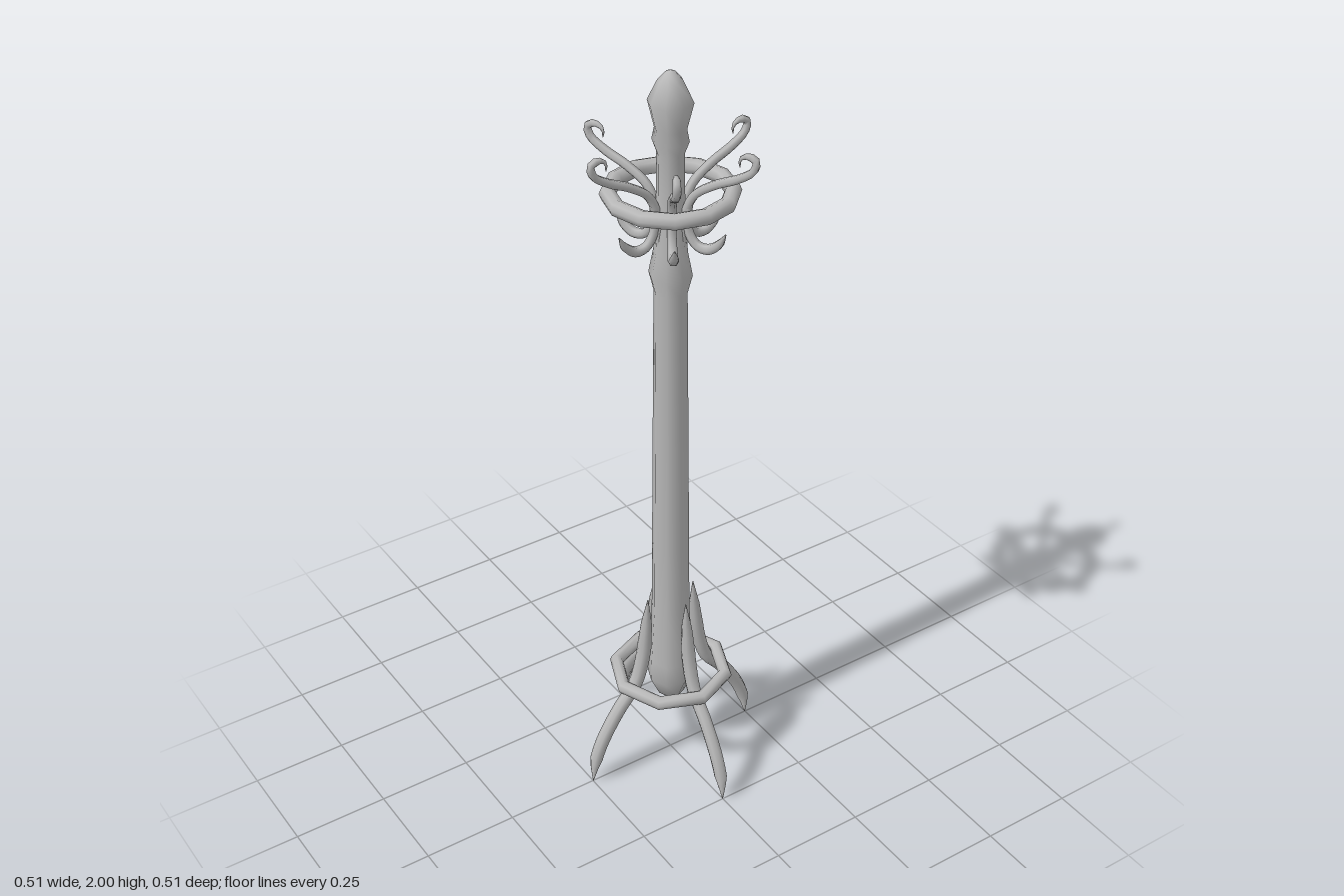
import * as THREE from 'three';

const grey = new THREE.MeshStandardMaterial({ color: 0xb8b8b8 });
grey.name = 'plain grey';

// Tube through [radius, height] points, with thickness varying along its length
function taperedTube(name, points, radii, segments, sides) {
  const curve = new THREE.CatmullRomCurve3(points.map(([r, y]) => new THREE.Vector3(r, y, 0)));
  const geo = new THREE.TubeGeometry(curve, segments, 1, sides);
  const pos = geo.attributes.position;
  const v = new THREE.Vector3();
  for (let i = 0; i < pos.count; i++) {
    const t = Math.floor(i / (sides + 1)) / segments;
    const f = t * (radii.length - 1);
    const k = Math.min(Math.floor(f), radii.length - 2);
    const radius = THREE.MathUtils.lerp(radii[k], radii[k + 1], f - k);
    const centre = curve.getPointAt(t);
    v.fromBufferAttribute(pos, i).sub(centre).multiplyScalar(radius).add(centre);
    pos.setXYZ(i, v.x, v.y, v.z);
  }
  const mesh = new THREE.Mesh(geo, grey);
  mesh.name = name;
  return mesh;
}

// Copies of a part spread evenly round the column
function spread(group, mesh, count) {
  for (let i = 0; i < count; i++) {
    const copy = mesh.clone();
    copy.rotation.y = (i / count) * Math.PI * 2;
    group.add(copy);
  }
}

function ring(name, y, radius, tube, sides) {
  const geo = new THREE.TorusGeometry(radius, tube, 8, sides);
  geo.rotateX(-Math.PI / 2);
  const mesh = new THREE.Mesh(geo, grey);
  mesh.position.y = y;
  mesh.name = name;
  return mesh;
}

export function createModel() {
  const root = new THREE.Group();
  root.name = 'coatStand';

  // Turned eight-sided column with collar and finial
  const profile = [
    [0, 0.212], [0.036, 0.212], [0.062, 0.27], [0.06, 0.33], [0.05, 0.5], [0.048, 0.7],
    [0.041, 1.44], [0.053, 1.488], [0.041, 1.55], [0.034, 1.7], [0.033, 1.8],
    [0.044, 1.83], [0.038, 1.86], [0.054, 1.925], [0.03, 1.975], [0.012, 1.995], [0, 2],
  ].map(([r, y]) => new THREE.Vector2(r, y));
  const column = new THREE.Mesh(new THREE.LatheGeometry(profile, 8), grey);
  column.name = 'column';
  root.add(column);

  // Rings bracing the hooks and the legs
  root.add(ring('upperRing', 1.7, 0.144, 0.02, 12));
  root.add(ring('lowerRing', 0.285, 0.147, 0.018, 8));

  // Four curved legs
  const leg = taperedTube('leg',
    [[0.07, 0.545], [0.077, 0.45], [0.088, 0.36], [0.113, 0.28], [0.165, 0.215], [0.215, 0.135], [0.24, 0.07], [0.249, 0.005]],
    [0.001, 0.014, 0.019, 0.019, 0.018, 0.018, 0.018, 0.017, 0.001], 24, 8);
  spread(root, leg, 4);

  // Six upper hooks, curling inwards at the top
  const upperHook = taperedTube('upperHook',
    [[0.03, 1.57], [0.037, 1.65], [0.06, 1.705], [0.11, 1.742], [0.168, 1.77], [0.205, 1.797], [0.211, 1.822], [0.192, 1.831], [0.172, 1.82], [0.172, 1.8]],
    [0.009, 0.011, 0.011, 0.011, 0.011, 0.011, 0.01, 0.009, 0.001], 32, 6);
  spread(root, upperHook, 6);

  // Six lower hooks, turning outwards and up
  const lowerHook = taperedTube('lowerHook',
    [[0.055, 1.7], [0.042, 1.65], [0.048, 1.605], [0.068, 1.578], [0.095, 1.574], [0.122, 1.592], [0.141, 1.624]],
    [0.004, 0.01, 0.011, 0.011, 0.012, 0.013, 0.011, 0.001], 24, 6);
  spread(root, lowerHook, 6);

  return root;
}
